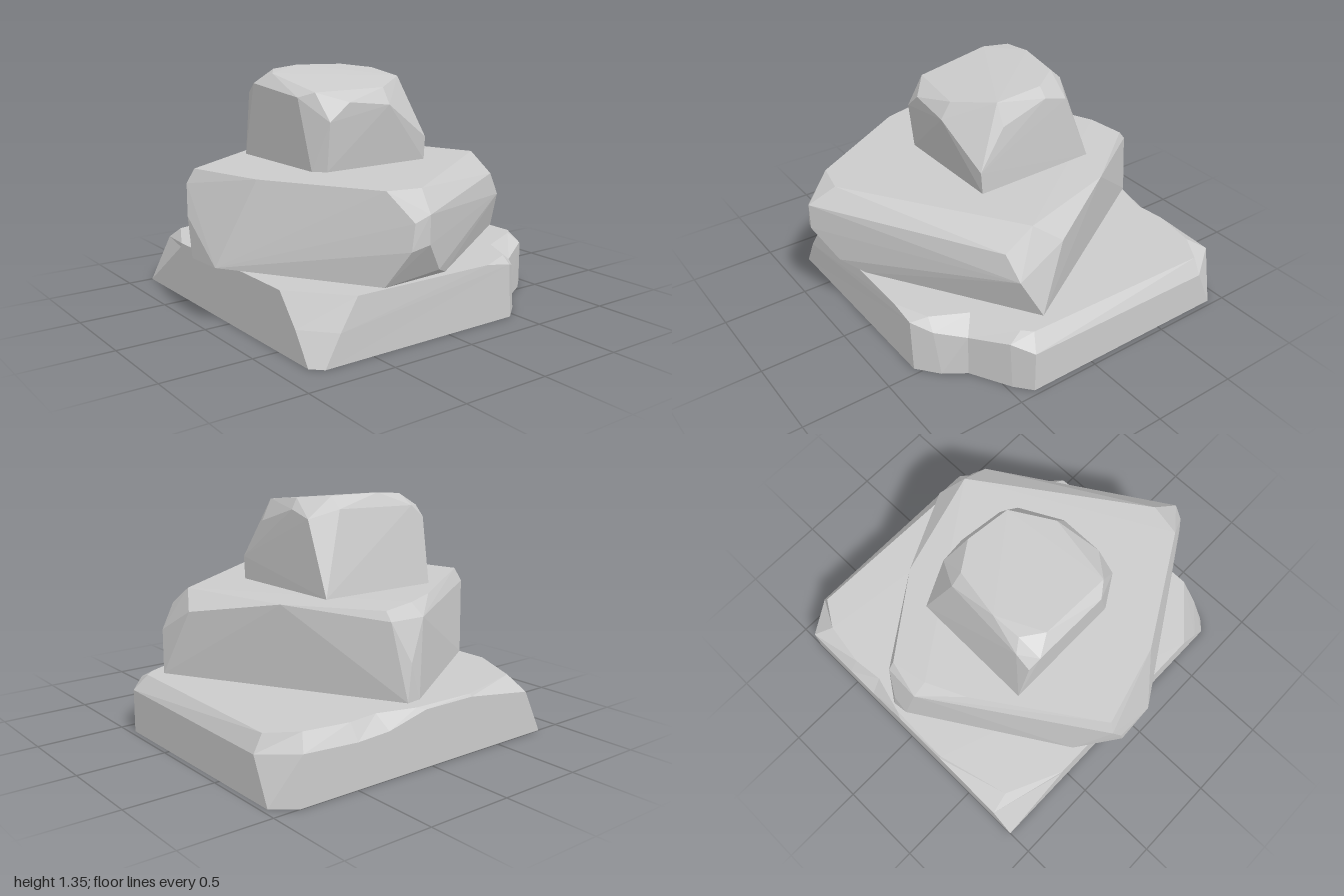
import * as THREE from 'three';
import { ConvexGeometry } from 'three/addons/geometries/ConvexGeometry.js';

const stone = new THREE.MeshStandardMaterial({
  color: 0xcccccc, flatShading: true, side: THREE.DoubleSide,
});

function addMesh(group, name, geometry) {
  const mesh = new THREE.Mesh(geometry, stone);
  mesh.name = name;
  group.add(mesh);
}

// Chiselled convex block from its corner points
function hull(points) {
  return new ConvexGeometry(points.map((p) => new THREE.Vector3(...p)));
}

// Stacks equal-length rings into walls and closes the top; the bottom stays open
function ringStack(rings) {
  const pos = [];
  const tri = (...corners) => corners.forEach((c) => pos.push(...c));
  const n = rings[0].length;
  for (let r = 0; r < rings.length - 1; r++) {
    for (let i = 0; i < n; i++) {
      const j = (i + 1) % n;
      const [a, b, c, d] = [rings[r][i], rings[r][j], rings[r + 1][j], rings[r + 1][i]];
      tri(b, a, d);
      tri(b, d, c);
    }
  }
  const top = rings[rings.length - 1];
  const flat = top.map((p) => new THREE.Vector2(p[0], -p[2]));
  for (const [i, j, k] of THREE.ShapeUtils.triangulateShape(flat, [])) {
    const up = THREE.ShapeUtils.area([flat[i], flat[j], flat[k]]) > 0;
    if (up) tri(top[i], top[j], top[k]);
    else tri(top[i], top[k], top[j]);
  }
  const geometry = new THREE.BufferGeometry();
  geometry.setAttribute('position', new THREE.Float32BufferAttribute(pos, 3));
  geometry.computeVertexNormals();
  return geometry;
}

export function createModel() {
  const group = new THREE.Group();
  group.name = 'stackedStones';

  // Base slab: ground outline, chipped shoulder and top edge, [x, z] or [x, y, z]
  const ground = [
    [-0.85, -0.57], [-0.85, -1], [-0.28, -1], [0.05, -1], [0.3, -1],
    [0.6, -1], [0.85, -1], [0.97, -0.91], [0.97, 0.39], [0.88, 0.47],
    [0.66, 0.6], [0.58, 0.72], [0.46, 0.82], [-0.79, 0.83], [-0.85, 0.77],
  ].map(([x, z]) => [x, 0.005, z]);
  const shoulder = [
    [-0.85, 0.31, -0.57], [-0.72, 0.26, -1], [-0.28, 0.32, -1], [0.05, 0.32, -1],
    [0.3, 0.26, -1], [0.5, 0.25, -1], [0.83, 0.27, -1], [0.97, 0.24, -0.8],
    [0.97, 0.25, 0.39], [0.87, 0.29, 0.48], [0.66, 0.25, 0.6], [0.54, 0.27, 0.74],
    [0.44, 0.31, 0.82], [-0.7, 0.17, 0.83], [-0.85, 0.17, 0.66],
  ];
  const rim = [
    [-0.85, -0.56], [-0.7, -0.88], [-0.28, -0.99], [0.1, -0.98], [0.32, -0.92],
    [0.5, -0.94], [0.76, -0.9], [0.92, -0.8], [0.9, 0.35], [0.85, 0.4],
    [0.58, 0.53], [0.48, 0.73], [0.28, 0.82], [-0.59, 0.82], [-0.85, 0.52],
  ].map(([x, z]) => [x, 0.335, z]);
  addMesh(group, 'baseSlab', ringStack([ground, shoulder, rim]));

  // Middle block, turned on the slab
  addMesh(group, 'middleBlock', hull([
    // front corner
    [-0.42, 0.83, 0.82], [-0.23, 0.83, 0.86], [-0.36, 0.69, 0.97], [-0.29, 0.73, 1],
    [-0.29, 0.58, 1], [-0.38, 0.55, 0.97], [-0.15, 0.41, 0.91], [-0.45, 0.355, 0.85],
    [-0.03, 0.355, 0.82],
    // left-hand corner in +x
    [0.7, 0.83, 0.22], [0.7, 0.72, 0.39], [0.78, 0.73, 0.08], [0.79, 0.58, 0.36],
    [0.85, 0.36, 0.25],
    // back corner
    [0.52, 0.82, -0.4], [-0.02, 0.83, -0.8], [0.19, 0.82, -0.84], [-0.02, 0.77, -0.89],
    [0.19, 0.77, -0.88], [0.11, 0.56, -0.95], [0.05, 0.36, -0.95], [0.14, 0.36, -0.96],
    // corner in -x
    [-0.24, 0.83, -0.7], [-0.9, 0.83, -0.26], [-0.78, 0.83, 0.2], [-0.94, 0.75, -0.28],
    [-0.97, 0.58, -0.22], [-0.97, 0.355, -0.18], [-0.96, 0.355, 0.06], [-0.8, 0.355, -0.42],
  ]));

  // Top block with a sloping cap
  addMesh(group, 'topBlock', hull([
    // foot
    [-0.44, 0.83, -0.5], [0.29, 0.83, -0.49], [0.3, 0.83, 0.25], [-0.38, 0.83, 0.26],
    [-0.44, 0.83, 0.2],
    // bevelled sides
    [-0.38, 1.1, 0.29], [-0.26, 1.2, 0.3], [0, 1.17, 0.31], [0.3, 0.96, 0.26],
    [0.28, 1.18, 0.1], [0.28, 1.27, -0.18], [0.28, 1.23, -0.32], [-0.46, 1.22, 0.1],
    [-0.46, 1.26, -0.36], [-0.45, 1.2, -0.43], [-0.36, 1.27, -0.43], [0.13, 1.28, -0.4],
    // cap
    [-0.4, 1.25, 0.18], [0, 1.26, 0.25], [0.22, 1.3, 0.1], [0.24, 1.33, -0.17],
    [0.13, 1.345, -0.33], [-0.15, 1.35, -0.38], [-0.32, 1.335, -0.37], [-0.4, 1.32, -0.25],
  ]));

  return group;
}
